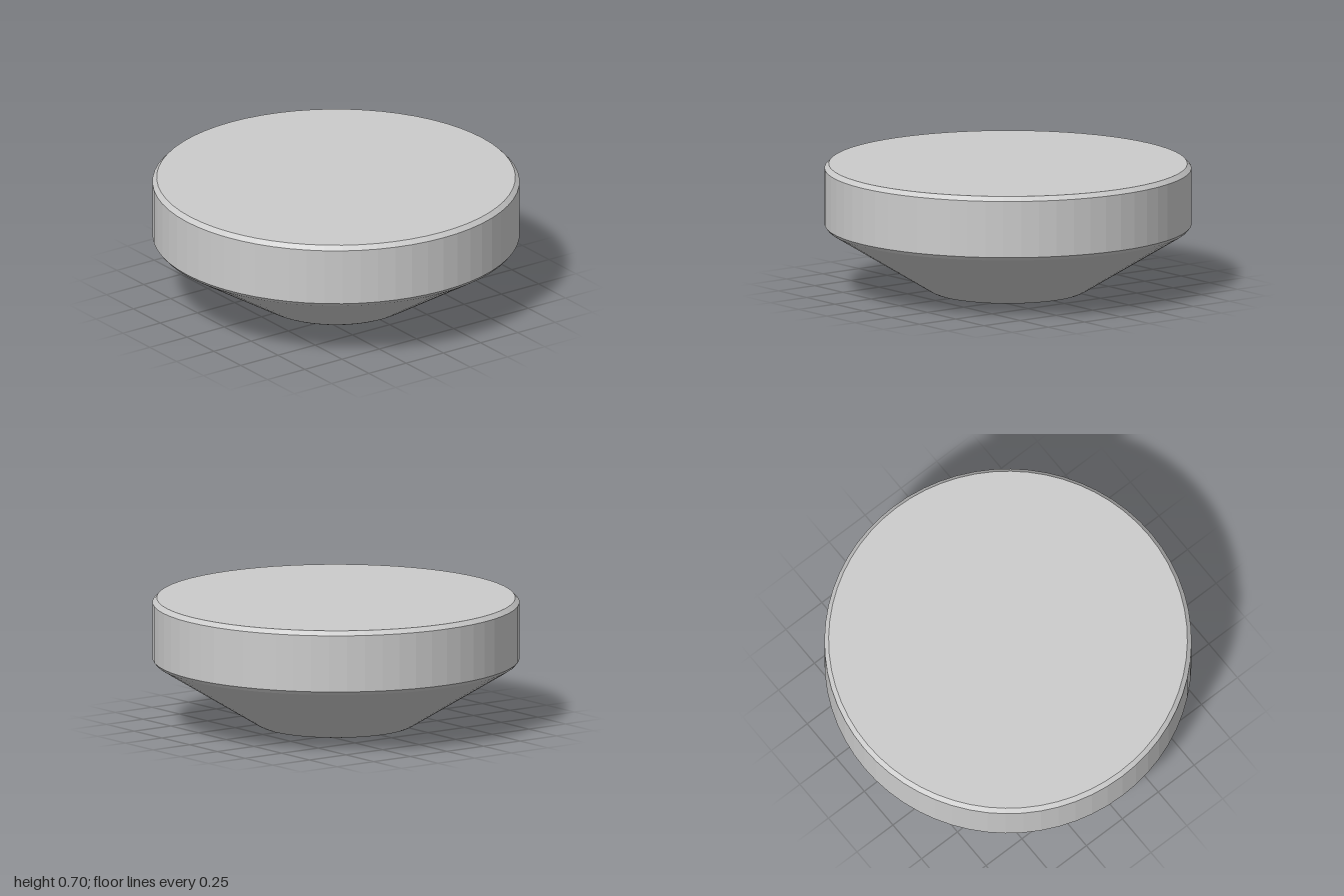
import * as THREE from 'three';

const SIDES = 64;

export function createModel() {
  const group = new THREE.Group();
  group.name = 'taperedDisc';

  // Profile from the bottom centre up to the top centre
  const profile = [
    [0, 0], [0.4, 0], [0.42, 0.004], [0.44, 0.014], // foot with softened rim
    [0.97, 0.338], [0.985, 0.348], [1, 0.367],      // flared underside, lower bevel
    [1, 0.678], [0.977, 0.702], [0, 0.702],         // upright band, top bevel, flat top
  ].map(([r, y]) => new THREE.Vector2(r, y));

  const body = new THREE.Mesh(
    new THREE.LatheGeometry(profile, SIDES),
    new THREE.MeshStandardMaterial({ color: 0xcccccc, flatShading: true }),
  );
  body.name = 'discBody';
  group.add(body);
  return group;
}
